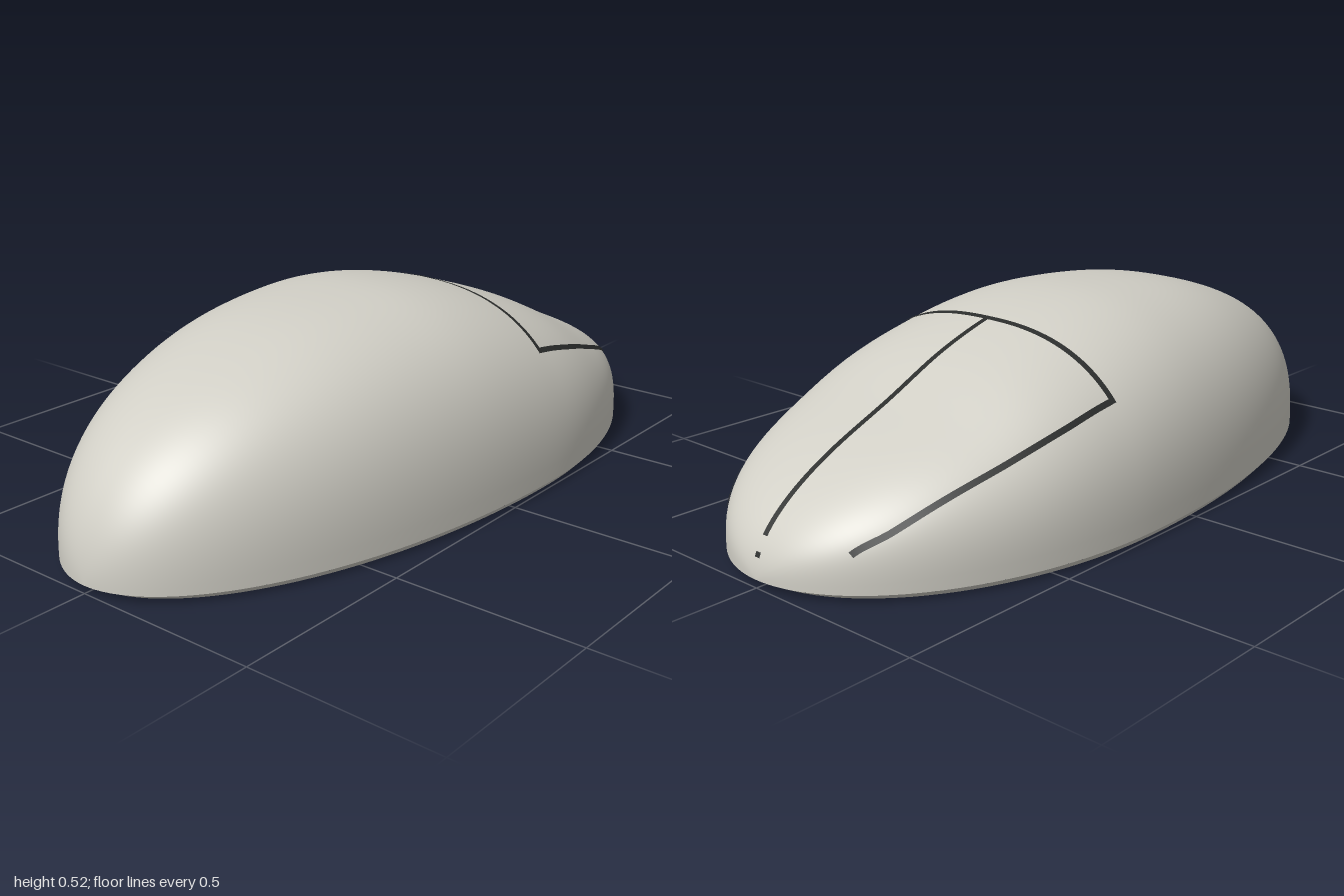
import * as THREE from 'three';

const RIM = 0.02; // height of the bevelled lower edge

// Ratio of the long profile to a half circle, evenly spaced from z = -1 to z = 1
const profile = new THREE.SplineCurve(
  [0.365, 0.375, 0.395, 0.445, 0.48, 0.502, 0.511, 0.521, 0.53, 0.548, 0.57]
    .map((g, i) => new THREE.Vector2(i, g)));

const crown = z => profile.getPoint((z + 1) / 2).y * Math.sqrt(Math.max(0, 1 - z * z));
const halfWidth = z => {
  const k = (z + 0.18) / (z < -0.18 ? 0.82 : 1.18);
  return 0.505 * Math.sqrt(Math.max(0, 1 - k * k));
};
// Cross-sections are superellipses, fuller towards the button end
const power = z => 2.5 + Math.max(0, -z - 0.25) * 0.9;

function surface(x, z) {
  const p = power(z);
  const k = Math.min(1, Math.abs(x) / Math.max(halfWidth(z), 1e-6));
  return new THREE.Vector3(x, RIM + crown(z) * Math.pow(1 - Math.pow(k, p), 1 / p), z);
}

// Builds a smooth sheet from fn(u, v), with u and v running 0..1
function sheet(rows, cols, fn) {
  const pos = [], index = [];
  for (let i = 0; i <= rows; i++) {
    for (let j = 0; j <= cols; j++) {
      pos.push(...fn(i / rows, j / cols).toArray());
      if (i < rows && j < cols) {
        const a = i * (cols + 1) + j, b = a + cols + 1;
        index.push(a, a + 1, b, a + 1, b + 1, b);
      }
    }
  }
  const geo = new THREE.BufferGeometry();
  geo.setAttribute('position', new THREE.Float32BufferAttribute(pos, 3));
  geo.setIndex(index);
  geo.computeVertexNormals();
  return geo;
}

// Thin strip lying on the shell along a plan curve of (x, z) points
function seam(points, steps) {
  const curve = new THREE.SplineCurve(points.map(p => new THREE.Vector2(...p)));
  const at = t => {
    const p = curve.getPoint(t);
    return surface(p.x, p.y);
  };
  const e = 0.002;
  return sheet(steps, 1, (u, v) => {
    const p = at(u);
    const along = at(Math.min(1, u + 0.004)).sub(at(Math.max(0, u - 0.004))).normalize();
    const dx = surface(p.x + e, p.z).sub(surface(p.x - e, p.z));
    const dz = surface(p.x, p.z + e).sub(surface(p.x, p.z - e));
    const normal = dz.cross(dx).normalize();
    const side = along.cross(normal).normalize();
    return p.addScaledVector(normal, 0.003).addScaledVector(side, (v - 0.5) * 0.016);
  });
}

export function createModel() {
  const shellMat = new THREE.MeshStandardMaterial({ color: 0xd0cec5 });
  shellMat.name = 'warm grey';
  const seamMat = new THREE.MeshStandardMaterial({ color: 0x2b2d2c });
  seamMat.name = 'dark grey';
  const group = new THREE.Group();
  group.name = 'computerMouse';
  const add = (name, geo, mat) => {
    const mesh = new THREE.Mesh(geo, mat);
    mesh.name = name;
    group.add(mesh);
  };

  // Domed shell
  add('shell', sheet(80, 64, (u, v) => {
    const z = -Math.cos(u * Math.PI), a = v * Math.PI, k = 2 / power(z);
    const c = Math.cos(a), s = Math.max(0, Math.sin(a));
    return new THREE.Vector3(
      halfWidth(z) * Math.sign(c) * Math.pow(Math.abs(c), k),
      RIM + crown(z) * Math.pow(s, k), z);
  }), shellMat);

  // Bevelled rim and flat underside follow the plan outline
  const outline = (u, scale, y) => {
    const a = u * Math.PI * 2, z = -Math.cos(a);
    return new THREE.Vector3(halfWidth(z) * Math.sign(Math.sin(a)) * scale, y, z * scale);
  };
  add('rim', sheet(128, 1, (u, v) => outline(u, 0.965 + 0.035 * v, RIM * v)), shellMat);
  add('underside', sheet(128, 1, (u, v) => outline(u, 0.965 * v, 0)), shellMat);

  // Grooves around the two buttons
  add('crossSeam', seam([[-0.412, -0.235], [0, -0.235], [0.412, -0.235]], 48), seamMat);
  add('centreSeam', seam([[0, -0.235], [0, -0.6], [0, -0.965]], 48), seamMat);
  add('centreSeamTip', seam([[0, -0.985], [0, -0.99]], 4), seamMat);
  for (const s of [1, -1]) {
    const path = [[0.407, -0.235], [0.398, -0.4], [0.368, -0.56], [0.322, -0.72], [0.275, -0.83], [0.22, -0.905]];
    add(s > 0 ? 'leftSeam' : 'rightSeam', seam(path.map(([x, z]) => [x * s, z]), 48), seamMat);
  }
  return group;
}
